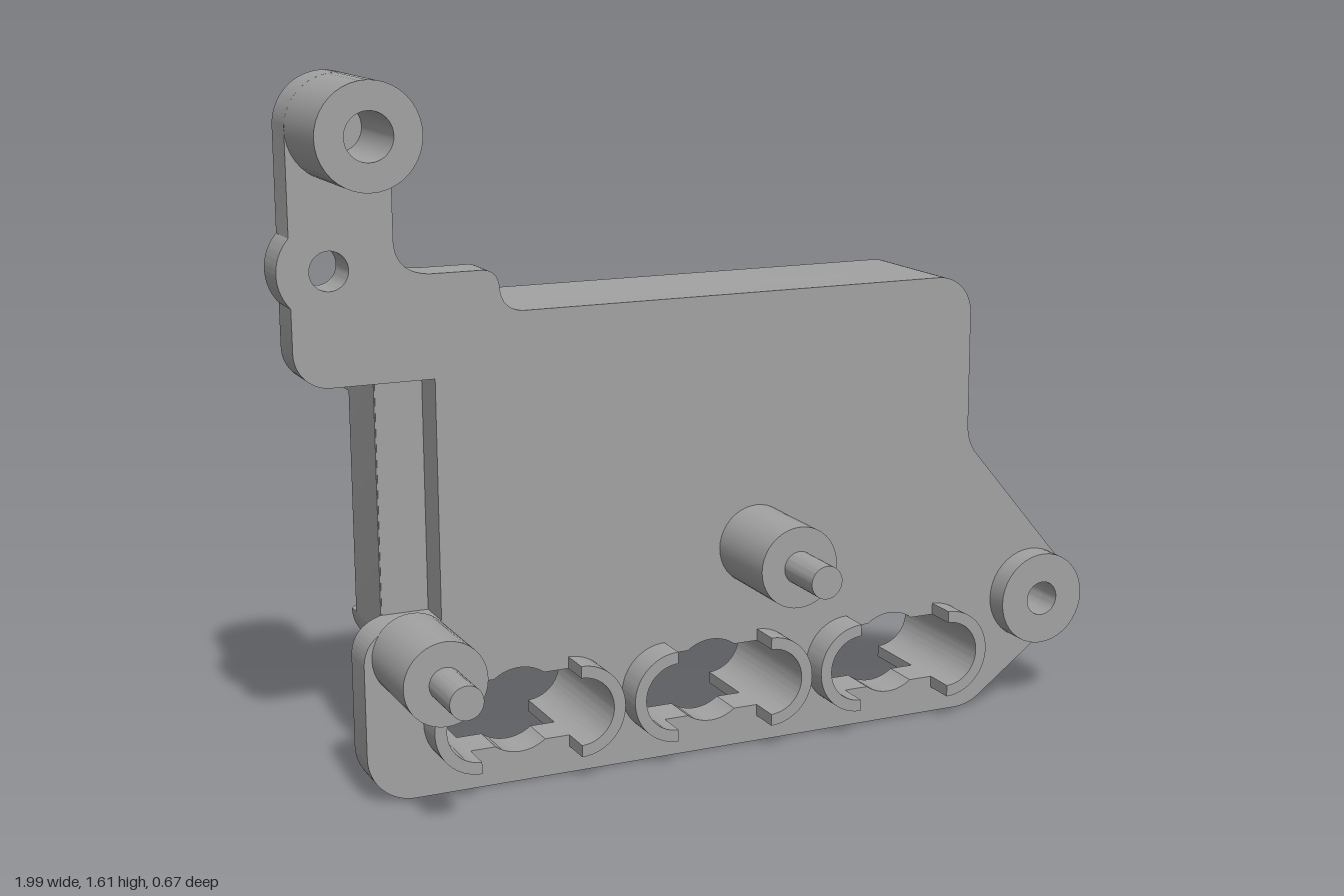
import * as THREE from 'three';
import { toCreasedNormals } from 'three/addons/utils/BufferGeometryUtils.js';

const PLATE_BACK = -0.11, PLATE_FRONT = -0.015, GRID_BACK = -0.3, RIM_BACK = -0.335;

export function createModel() {
  const model = new THREE.Group();
  model.name = 'mountingBracket';
  const grey = new THREE.MeshStandardMaterial({ color: 0xa2a2a2 });
  grey.name = 'grey';

  // Extrude a front-facing shape between two z positions
  function slab(name, shape, z0, z1) {
    const raw = new THREE.ExtrudeGeometry(shape, { depth: z1 - z0, bevelEnabled: false, curveSegments: 20 });
    const mesh = new THREE.Mesh(toCreasedNormals(raw, 0.5), grey);
    mesh.position.z = z0;
    mesh.name = name;
    model.add(mesh);
    return mesh;
  }

  function disc(x, y, r, hole = 0) {
    const s = new THREE.Shape();
    s.absarc(x, y, r, 0, Math.PI * 2, false);
    if (hole) s.holes.push(circlePath(x, y, hole));
    return s;
  }

  function circlePath(x, y, r) {
    const p = new THREE.Path();
    p.absarc(x, y, r, 0, Math.PI * 2, true);
    return p;
  }

  function roundRect(x0, y0, x1, y1, r, Type = THREE.Shape) {
    const s = new Type();
    s.absarc(x1 - r, y0 + r, r, -Math.PI / 2, 0, false);
    s.absarc(x1 - r, y1 - r, r, 0, Math.PI / 2, false);
    s.absarc(x0 + r, y1 - r, r, Math.PI / 2, Math.PI, false);
    s.absarc(x0 + r, y0 + r, r, Math.PI, Math.PI * 1.5, false);
    s.closePath();
    return s;
  }

  const clipX = [-0.48, 0, 0.48], clipY = 0.17;

  // Slot with round ends and a wider round middle
  function slotPath(cx) {
    const p = new THREE.Path();
    const a = Math.asin(0.08 / 0.1);
    p.absarc(cx + 0.12, clipY, 0.08, -Math.PI / 2, Math.PI / 2, false);
    p.absarc(cx, clipY, 0.1, a, Math.PI - a, false);
    p.absarc(cx - 0.12, clipY, 0.08, Math.PI / 2, Math.PI * 1.5, false);
    p.absarc(cx, clipY, 0.1, Math.PI + a, Math.PI * 2 - a, false);
    p.closePath();
    return p;
  }

  // Front plate with upright arm, side ear and lower foot
  const plate = new THREE.Shape();
  plate.moveTo(-0.73, 0);
  plate.lineTo(0.67, 0);
  plate.quadraticCurveTo(0.705, 0, 0.735, 0.02);
  plate.lineTo(0.944, 0.174);
  plate.absarc(0.88, 0.27, 0.115, -0.98, 0.69, false);
  plate.lineTo(0.715, 0.645);
  plate.quadraticCurveTo(0.69, 0.675, 0.69, 0.72);
  plate.absarc(0.6, 0.995, 0.09, 0, Math.PI / 2, false);
  plate.lineTo(-0.455, 1.085);
  plate.quadraticCurveTo(-0.505, 1.09, -0.508, 1.14);
  plate.quadraticCurveTo(-0.512, 1.18, -0.55, 1.18);
  plate.lineTo(-0.665, 1.18);
  plate.quadraticCurveTo(-0.745, 1.185, -0.745, 1.26);
  plate.absarc(-0.858, 1.5, 0.113, 0, Math.PI, false);
  plate.lineTo(-0.971, 1.275);
  plate.absarc(-0.89, 1.2, 0.11, 2.4, 3.88, false);
  plate.absarc(-0.891, 1.03, 0.08, Math.PI, Math.PI * 1.5, false);
  plate.lineTo(-0.66, 0.95);
  plate.lineTo(-0.66, 0.405);
  plate.lineTo(-0.77, 0.405);
  plate.quadraticCurveTo(-0.84, 0.385, -0.84, 0.32);
  plate.absarc(-0.73, 0.11, 0.11, Math.PI, Math.PI * 1.5, false);
  plate.holes.push(circlePath(0.88, 0.27, 0.042), circlePath(-0.887, 1.2, 0.043));
  clipX.forEach((x) => plate.holes.push(slotPath(x)));
  slab('frontPlate', plate, PLATE_BACK, PLATE_FRONT);

  // Rear box: a grid of eight rounded pockets
  const X0 = -0.77, X1 = 0.69, Y0 = 0.27, Y1 = 1.085, R = 0.09;
  const grid = roundRect(X0, Y0, X1, Y1, R);
  for (let i = 0; i < 4; i++) {
    for (let j = 0; j < 2; j++) {
      const x = X0 + 0.085 + i * 0.337, y = Y0 + 0.065 + j * 0.365;
      grid.holes.push(roundRect(x, y, x + 0.28, y + 0.32, 0.04, THREE.Path));
    }
  }
  slab('pocketGrid', grid, GRID_BACK, PLATE_BACK);
  slab('pocketFloor', roundRect(X0 + 0.002, Y0 + 0.002, X1 - 0.002, Y1 - 0.002, R), PLATE_BACK - 0.012, PLATE_BACK + 0.002);

  // Raised rim around the box, open along part of one side
  const w = 0.04, r = R - w, gapLow = 0.38, gapHigh = 0.88;
  const rim = new THREE.Shape();
  rim.moveTo(X0, gapLow);
  rim.absarc(X0 + R, Y0 + R, R, Math.PI, Math.PI * 1.5, false);
  rim.absarc(X1 - R, Y0 + R, R, -Math.PI / 2, 0, false);
  rim.absarc(X1 - R, Y1 - R, R, 0, Math.PI / 2, false);
  rim.absarc(X0 + R, Y1 - R, R, Math.PI / 2, Math.PI, false);
  rim.lineTo(X0, gapHigh);
  rim.lineTo(X0 + w, gapHigh);
  rim.absarc(X0 + R, Y1 - R, r, Math.PI, Math.PI / 2, true);
  rim.absarc(X1 - R, Y1 - R, r, Math.PI / 2, 0, true);
  rim.absarc(X1 - R, Y0 + R, r, 0, -Math.PI / 2, true);
  rim.absarc(X0 + R, Y0 + R, r, Math.PI * 1.5, Math.PI, true);
  rim.lineTo(X0 + w, gapLow);
  rim.closePath();
  slab('rearRim', rim, RIM_BACK, GRID_BACK);

  // Front part of the box walls, flush with the plate face
  const shoulder = roundRect(-0.64, 0.42, X1, Y1, R);
  slab('boxShoulder', shoulder, PLATE_BACK, PLATE_FRONT - 0.001);

  // C-shaped clip walls at both ends of each slot
  for (const cx of clipX) {
    for (const side of [-1, 1]) {
      const x = cx + side * 0.12;
      const start = side > 0 ? -Math.PI / 2 : Math.PI / 2;
      const c = new THREE.Shape();
      c.absarc(x, clipY, 0.108, start, start + Math.PI, false);
      c.absarc(x, clipY, 0.08, start + Math.PI, start, true);
      c.closePath();
      slab('clipWall', c, -0.28, 0.062);
    }
  }

  // Arm boss with a blind bore
  slab('armBoss', disc(-0.858, 1.5, 0.113, 0.052), PLATE_FRONT, 0.205);

  // Ear boss around the through hole
  slab('earBoss', disc(0.88, 0.27, 0.114, 0.042), PLATE_FRONT, 0.043);

  // Stepped locating pins
  for (const [x, y] of [[0.117, 0.487], [-0.727, 0.335]]) {
    slab('pinBase', disc(x, y, 0.095), PLATE_FRONT - 0.005, 0.205);
    slab('pinTip', disc(x, y, 0.038), 0.2, 0.337);
  }

  return model;
}
